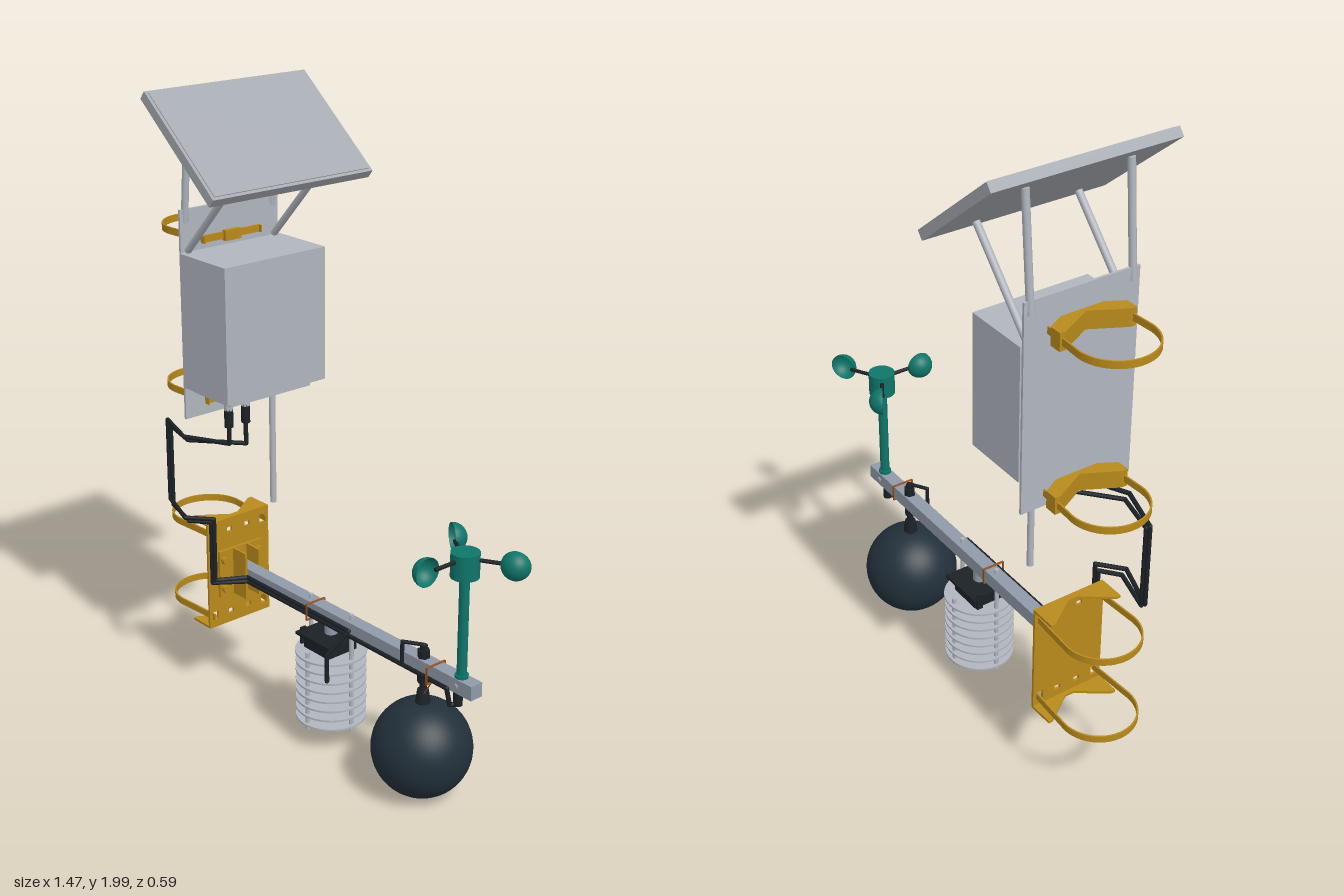
import * as THREE from 'three';

const mat = (name, color, double) => {
  const m = new THREE.MeshStandardMaterial({ color });
  m.name = name;
  if (double) m.side = THREE.DoubleSide;
  return m;
};

export function createModel() {
  const root = new THREE.Group();
  root.name = 'weatherStation';
  const casing = mat('casingGrey', 0xb0b5be), panelGrey = mat('panelGrey', 0xa5a9b0);
  const steel = mat('steelBlue', 0x8f99a8), gold = mat('mountGold', 0xb98a1c);
  const black = mat('cableBlack', 0x1b2126), globeMat = mat('globeBlack', 0x22303a);
  const teal = mat('teal', 0x0e7569, true), copper = mat('tieBrown', 0x9a5320);

  const add = (name, geo, m, x = 0, y = 0, z = 0, parent = root) => {
    const mesh = new THREE.Mesh(geo, m);
    mesh.name = name;
    mesh.position.set(x, y, z);
    parent.add(mesh);
    return mesh;
  };
  const box = (name, m, w, h, d, x, y, z, parent) => add(name, new THREE.BoxGeometry(w, h, d), m, x, y, z, parent);
  const cyl = (name, m, r, y0, y1, x, z, r2 = r, seg = 20) =>
    add(name, new THREE.CylinderGeometry(r2, r, y1 - y0, seg), m, x, (y0 + y1) / 2, z);
  // Straight bar or rod between two points
  const bar = (name, m, a, b, r, seg = 10, parent = root) => {
    const p = new THREE.Vector3(...a), q = new THREE.Vector3(...b);
    const mesh = add(name, new THREE.CylinderGeometry(r, r, p.distanceTo(q), seg), m, 0, 0, 0, parent);
    mesh.position.copy(p).lerp(q, 0.5);
    mesh.quaternion.setFromUnitVectors(new THREE.Vector3(0, 1, 0), q.clone().sub(p).normalize());
    return mesh;
  };
  // Cable with tight elbows
  const cable = (name, pts, r = 0.008) => {
    const g = new THREE.Group();
    g.name = name;
    root.add(g);
    pts.forEach((p, i) => {
      if (i) bar(name + 'Run', black, pts[i - 1], p, r, 10, g);
      add(name + 'Elbow', new THREE.SphereGeometry(r, 10, 8), black, ...p, g);
    });
  };
  // Horizontal slab cut from a plan outline, centred on height y
  const slab = (name, shape, h, y, m = gold) => {
    const geo = new THREE.ExtrudeGeometry(shape, { depth: h, bevelEnabled: false, curveSegments: 40 });
    geo.rotateX(-Math.PI / 2);
    return add(name, geo, m, 0, y - h / 2, 0);
  };
  const outline = pts => new THREE.Shape(pts.map(p => new THREE.Vector2(...p)));

  // Solar panel, tilted toward the right end
  const panel = new THREE.Group();
  panel.name = 'solarPanel';
  panel.position.set(-0.32, 1.859, 0);
  panel.rotation.z = -0.69;
  root.add(panel);
  box('panelFrame', panelGrey, 0.405, 0.03, 0.59, 0, 0, 0, panel);
  box('panelFace', panelGrey, 0.385, 0.004, 0.57, 0, 0.0155, 0, panel);
  for (const z of [-0.164, 0.164]) {
    bar('rearStrut', casing, [-0.442, 1.94, z], [-0.473, 1.6, z], 0.011);
    bar('frontStrut', casing, [-0.228, 1.76, z], [-0.46, 1.515, z], 0.011);
  }

  // Electronics enclosure with back plate, underside tray and aerial
  box('backPlate', casing, 0.008, 0.655, 0.37, -0.471, 1.3125, 0);
  box('enclosure', casing, 0.219, 0.42, 0.38, -0.358, 1.3, 0);
  box('enclosureTray', casing, 0.18, 0.025, 0.31, -0.37, 1.08, 0);
  cyl('aerial', casing, 0.01, 0.68, 1.07, -0.35, -0.06);
  const glands = [0.11, 0.045];
  for (const z of glands) {
    cyl('glandNut', casing, 0.014, 1.03, 1.07, -0.35, z);
    cyl('gland', black, 0.014, 0.975, 1.035, -0.35, z, 0.014, 12);
  }

  // Pole straps
  const strap = outline([[-0.45, 0.11], [-0.615, 0.12]]);
  strap.absarc(-0.615, 0, 0.12, Math.PI / 2, Math.PI * 1.5, false);
  strap.lineTo(-0.45, -0.11);
  strap.lineTo(-0.45, -0.105);
  strap.lineTo(-0.615, -0.115);
  strap.absarc(-0.615, 0, 0.115, Math.PI * 1.5, Math.PI / 2, true);
  strap.lineTo(-0.45, 0.105);
  for (const y of [1.54, 1.03, 0.575, 0.285]) slab('poleStrap', strap, 0.022, y);

  // V-notched pole clamps behind the enclosure
  const vee = outline([[-0.475, -0.07], [-0.475, 0.07], [-0.505, 0.123], [-0.545, 0.123],
    [-0.545, 0.105], [-0.49, 0], [-0.545, -0.105], [-0.545, -0.123], [-0.505, -0.123]]);
  for (const y of [1.54, 1.03]) {
    slab('poleClamp', vee, 0.055, y);
    box('strapFace', gold, 0.006, 0.022, 0.22, -0.464, y, 0);
    box('strapBuckle', gold, 0.016, 0.032, 0.06, -0.458, y, 0);
  }

  // Lower pole bracket: plate with slots and notched flanges
  const plate = outline([[-0.123, 0.245], [0.123, 0.245], [0.123, 0.615], [-0.123, 0.615]]);
  const slot = (z, y, w, h) => {
    const p = new THREE.Path();
    p.moveTo(z - w, y - h);
    p.lineTo(z - w, y + h);
    p.lineTo(z + w, y + h);
    p.lineTo(z + w, y - h);
    p.closePath();
    plate.holes.push(p);
  };
  for (const s of [-1, 1]) for (const y of [0.575, 0.285]) {
    slot(s * 0.1, y, 0.012, 0.015);
    slot(s * 0.035, y, 0.01, 0.008);
  }
  const plateGeo = new THREE.ExtrudeGeometry(plate, { depth: 0.008, bevelEnabled: false });
  plateGeo.rotateY(-Math.PI / 2);
  add('bracketPlate', plateGeo, gold, -0.458, 0, 0);
  const flange = outline([[-0.46, -0.123], [-0.46, 0.123], [-0.545, 0.123], [-0.545, 0.108],
    [-0.48, 0.015], [-0.48, -0.015], [-0.545, -0.108], [-0.545, -0.123]]);
  for (const y of [0.611, 0.249]) slab('bracketFlange', flange, 0.008, y);

  // Boom socket with bolts
  box('socketBase', gold, 0.01, 0.16, 0.17, -0.453, 0.43, 0);
  for (const s of [-1, 1]) {
    box('socketCheek', gold, 0.075, 0.16, 0.008, -0.422, 0.43, s * 0.027);
    for (const y of [0.48, 0.38])
      bar('socketBolt', gold, [-0.45, y, s * 0.07], [-0.432, y, s * 0.07], 0.012, 6);
  }

  // Boom
  box('boom', steel, 1.075, 0.045, 0.044, 0.0875, 0.4325, 0);
  bar('boomBolt', steel, [0.565, 0.432, -0.028], [0.565, 0.432, 0.028], 0.01, 6);

  // Cup anemometer
  const ax = 0.565, ay = 0.825;
  cyl('anemometerMast', teal, 0.015, 0.45, 0.78, ax, 0);
  cyl('mastFoot', teal, 0.02, 0.445, 0.465, ax, 0);
  cyl('mastPlug', black, 0.014, 0.36, 0.412, ax - 0.012, 0);
  cyl('anemometerHub', teal, 0.042, 0.77, 0.845, ax, 0, 0.042, 28);
  for (let i = 0; i < 3; i++) {
    const a = Math.PI / 2 + i * Math.PI * 2 / 3, c = Math.cos(a), s = Math.sin(a);
    const cup = add('windCup', new THREE.SphereGeometry(0.043, 24, 12, 0, Math.PI * 2, 0, Math.PI / 2),
      teal, ax + c * 0.143, ay, s * 0.143);
    cup.quaternion.setFromUnitVectors(new THREE.Vector3(0, 1, 0), new THREE.Vector3(-s, 0, c));
    bar('cupArm', black, [ax + c * 0.035, ay, s * 0.035], [ax + c * 0.115, ay, s * 0.115], 0.006);
  }

  // Black globe sensor
  add('globe', new THREE.SphereGeometry(0.152, 48, 32), globeMat, 0.41, 0.158, 0);
  cyl('globeNeck', black, 0.024, 0.3, 0.35, 0.41, 0, 0.017);
  cyl('globeStem', black, 0.011, 0.34, 0.495, 0.41, 0);
  cyl('globeNut', black, 0.019, 0.455, 0.48, 0.41, 0, 0.019, 6);
  cyl('globeLowerNut', black, 0.019, 0.375, 0.41, 0.41, 0, 0.019, 6);
  bar('globeTether', copper, [0.47, 0.41, 0.02], [0.425, 0.345, 0.01], 0.002, 6);

  // Louvred shield with rods and inner sensor
  cyl('shieldCap', casing, 0.112, 0.312, 0.318, 0, 0, 0.112, 40);
  const ring = new THREE.Shape().absarc(0, 0, 0.11, 0, Math.PI * 2, false);
  ring.holes.push(new THREE.Path().absarc(0, 0, 0.06, 0, Math.PI * 2, true));
  for (let i = 0; i < 7; i++) slab('shieldRing', ring, 0.006, 0.09 + i * 0.032, casing);
  for (let i = 0; i < 4; i++) {
    const x = [0.095, 0, -0.095, 0][i], z = [0, 0.095, 0, -0.095][i];
    cyl('shieldRod', casing, 0.007, 0.07, x ? 0.47 : 0.335, x, z, 0.007, 10);
  }
  cyl('innerSensor', steel, 0.016, 0.155, 0.26, 0, 0);
  cyl('innerSensorStem', steel, 0.008, 0.26, 0.32, 0, 0);
  box('shieldBlock', black, 0.115, 0.045, 0.115, -0.004, 0.3405, 0);
  box('shieldMountPlate', black, 0.152, 0.01, 0.154, -0.002, 0.367, 0);
  for (const z of [-0.05, 0.05]) box('shieldMountTab', black, 0.008, 0.055, 0.02, -0.074, 0.352, z);
  cyl('shieldPost', steel, 0.02, 0.37, 0.412, 0, 0);

  // Cables from the enclosure to the boom
  const trunk = (d, gz) => [[-0.35, 0.98, gz], [-0.35, 0.905 + d, gz], [-0.49, 0.905 + d, 0.165 + d],
    [-0.63 - d, 0.905 + d, 0.13], [-0.63 - d, 0.632 + d, 0.13], [-0.49, 0.632 + d, 0.17 + d],
    [-0.435 + d, 0.632 + d, 0.125], [-0.435 + d, 0.42 + d, 0.125], [-0.37, 0.42 + d, 0.034]];
  cable('shieldCable', [...trunk(0.015, glands[0]), [0.12, 0.435, 0.034], [0.085, 0.36, 0.09],
    [0.085, 0.27, 0.09], [0.01, 0.27, 0.02]], 0.007);
  cable('anemometerCable', [...trunk(0, glands[1]), [0.54, 0.42, 0.034], [0.54, 0.362, 0.02],
    [0.555, 0.362, 0]], 0.007);
  cable('globeCable', [[0.355, 0.425, 0.034], [0.355, 0.495, 0.034], [0.41, 0.495, 0]], 0.006);

  // Cable ties around the boom
  for (const x of [-0.062, 0.47]) {
    for (const z of [-0.026, 0.046]) box('cableTieSide', copper, 0.007, 0.056, 0.003, x, 0.4325, z);
    for (const y of [0.406, 0.459]) box('cableTieBand', copper, 0.007, 0.003, 0.075, x, y, 0.01);
  }
  return root;
}
